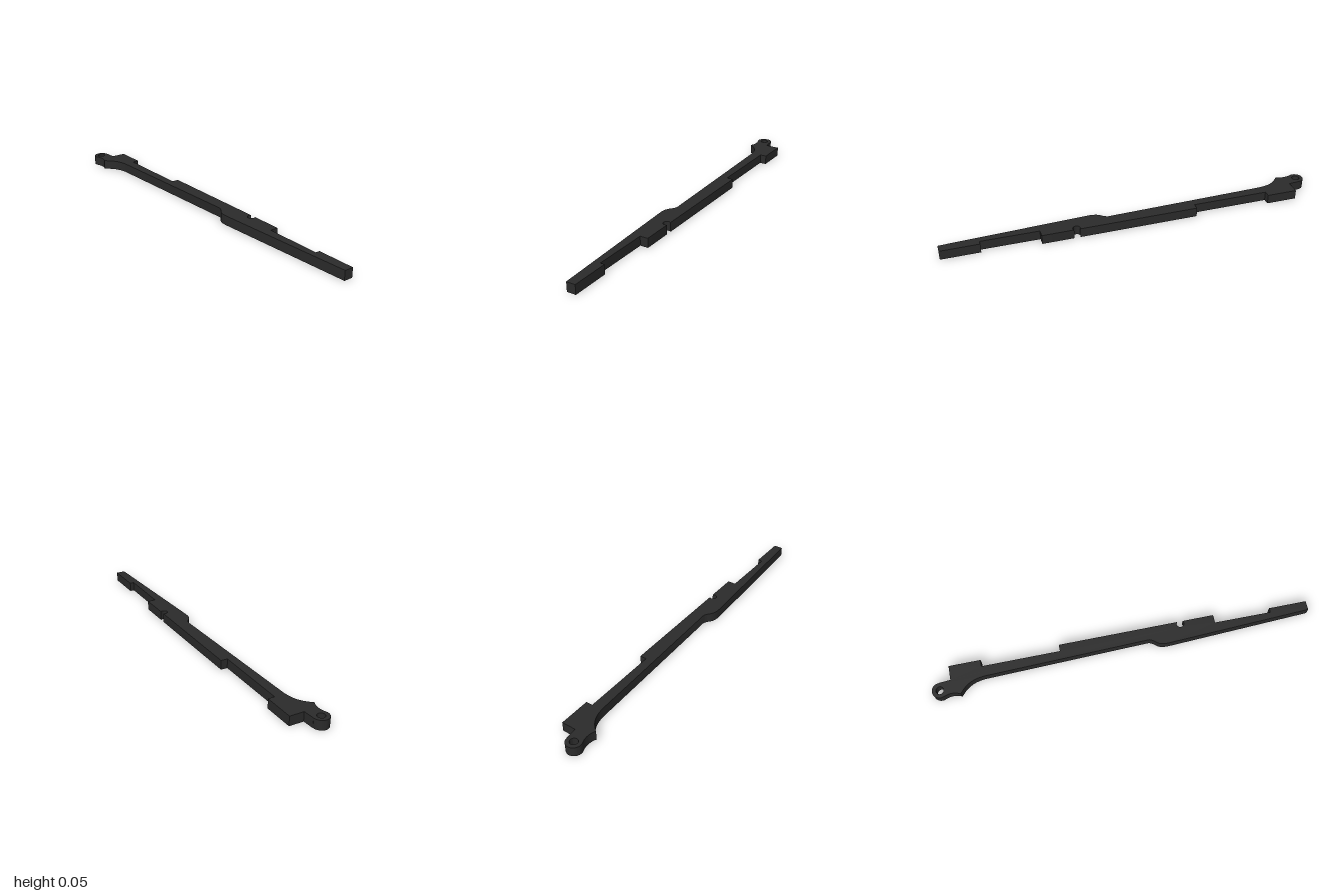
import * as THREE from 'three';
import { toCreasedNormals } from 'three/addons/utils/BufferGeometryUtils.js';

const HEIGHT = 0.05;

// Plan outline drawn as (x, -z), so the shape lies flat after rotation
function barOutline() {
  const s = new THREE.Shape();
  const line = (...pts) => pts.forEach(([x, z]) => s.lineTo(x, -z));

  // right-hand edge with its stepped flanges, front to back
  s.moveTo(0.01, -1);
  line([0.058, 1], [0.058, 0.8], [0.035, 0.8], [0.037, 0.5], [0.08, 0.5], [0.08, 0.336]);
  // round notch in the middle flange
  s.absarc(0.068, -0.32, 0.019, -0.9, 0.9, true);
  line([0.08, 0.304], [0.08, -0.325], [0.045, -0.325], [0.045, -0.735], [0.08, -0.735], [0.08, -0.9], [0.004, -0.9]);
  // rounded lug
  line([0, -0.96]);
  s.absarc(-0.041, 0.96, 0.04, 0, Math.PI + 0.35, false);
  // shoulder hook and fillet into the bar
  s.quadraticCurveTo(-0.058, 0.9, -0.08, 0.858);
  s.bezierCurveTo(-0.045, 0.83, -0.014, 0.8, -0.01, 0.72);
  // left edge, with the bulge of the front half
  line([0.013, 0.14]);
  s.bezierCurveTo(0, -0.18, -0.027, -0.17, -0.025, -0.24);
  line([0.01, 1]);

  const eye = new THREE.Path();
  eye.absarc(-0.041, 0.96, 0.02, 0, Math.PI * 2, true);
  s.holes.push(eye);
  return s;
}

export function createModel() {
  const group = new THREE.Group();
  group.name = 'leverBar';

  let geometry = new THREE.ExtrudeGeometry(barOutline(), {
    depth: HEIGHT, bevelEnabled: false, curveSegments: 20,
  });
  geometry.rotateX(-Math.PI / 2);
  geometry = toCreasedNormals(geometry, 0.6);

  const bar = new THREE.Mesh(geometry, new THREE.MeshStandardMaterial({ color: 0x2b2b2b }));
  bar.name = 'bar';
  group.add(bar);
  return group;
}
